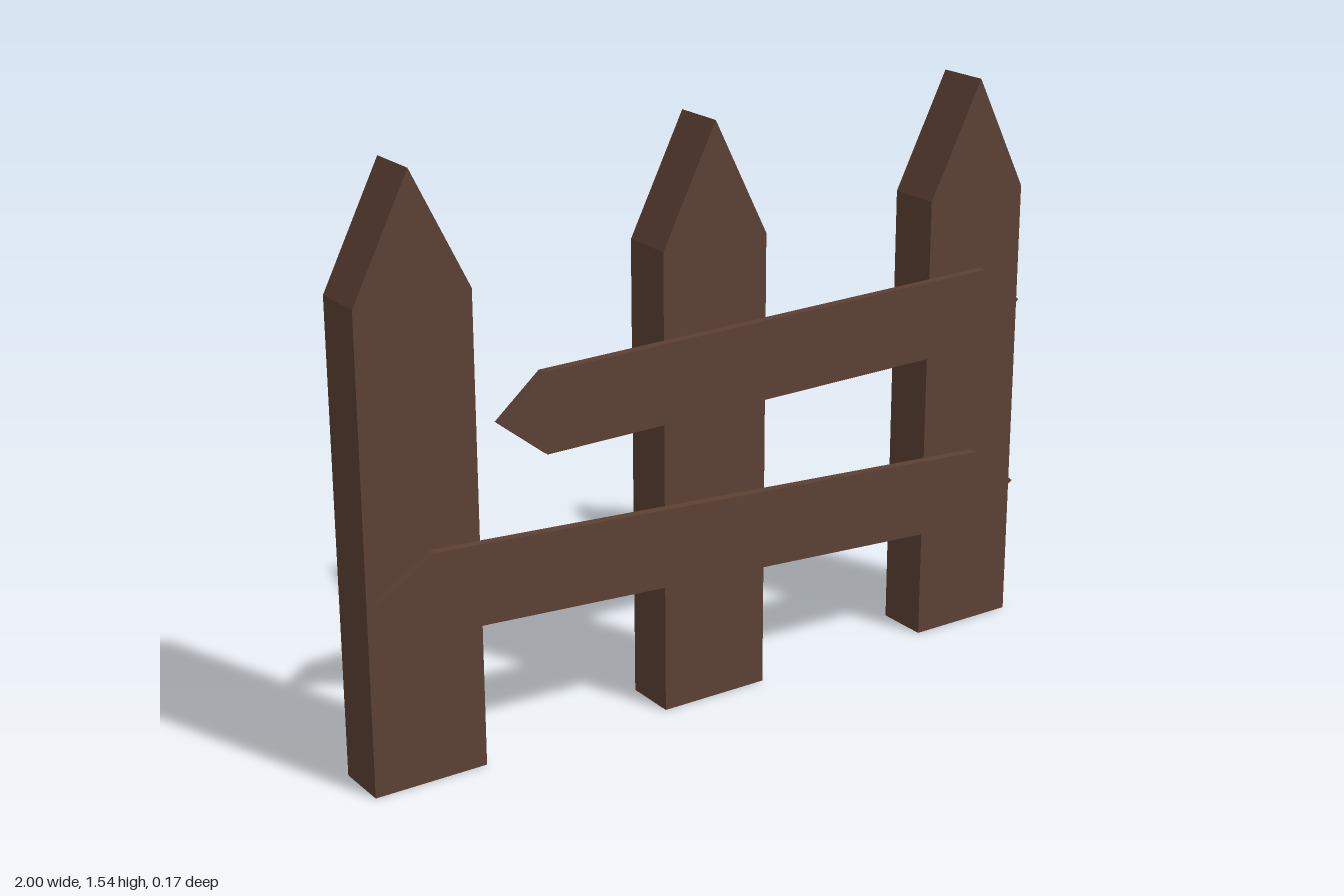
import * as THREE from 'three';

const wood = new THREE.MeshStandardMaterial({ color: 0x5c4033, flatShading: true });

// Flat board cut from an outline, spanning z0 to z1
function board(name, outline, z0, z1) {
  const shape = new THREE.Shape(outline.map(([x, y]) => new THREE.Vector2(x, y)));
  const geometry = new THREE.ExtrudeGeometry(shape, { depth: z1 - z0, bevelEnabled: false });
  geometry.translate(0, 0, z0);
  const mesh = new THREE.Mesh(geometry, wood);
  mesh.name = name;
  return mesh;
}

export function createModel() {
  const fence = new THREE.Group();
  fence.name = 'fence';

  // Three upright pickets with pointed tops
  const half = 0.155;
  const picket = [[-half, 0], [half, 0], [half, 1.235], [0, 1.543], [-half, 1.235]];
  [['rightPicket', -0.845], ['middlePicket', 0], ['leftPicket', 0.845]].forEach(([name, x]) => {
    const post = board(name, picket, -0.085, 0.06);
    post.position.x = x;
    fence.add(post);
  });

  // Two slanted rails, pointed at both ends, nailed to the front
  fence.add(board('upperRail', [
    [-0.64, 0.895], [-0.51, 0.792], [0.865, 0.816], [0.985, 0.925], [0.865, 1.028], [-0.515, 1.002],
  ], 0.06, 0.085));
  fence.add(board('lowerRail', [
    [-0.985, 0.512], [-0.835, 0.398], [0.845, 0.299], [0.99, 0.398], [0.855, 0.51], [-0.825, 0.61],
  ], 0.06, 0.085));

  return fence;
}
